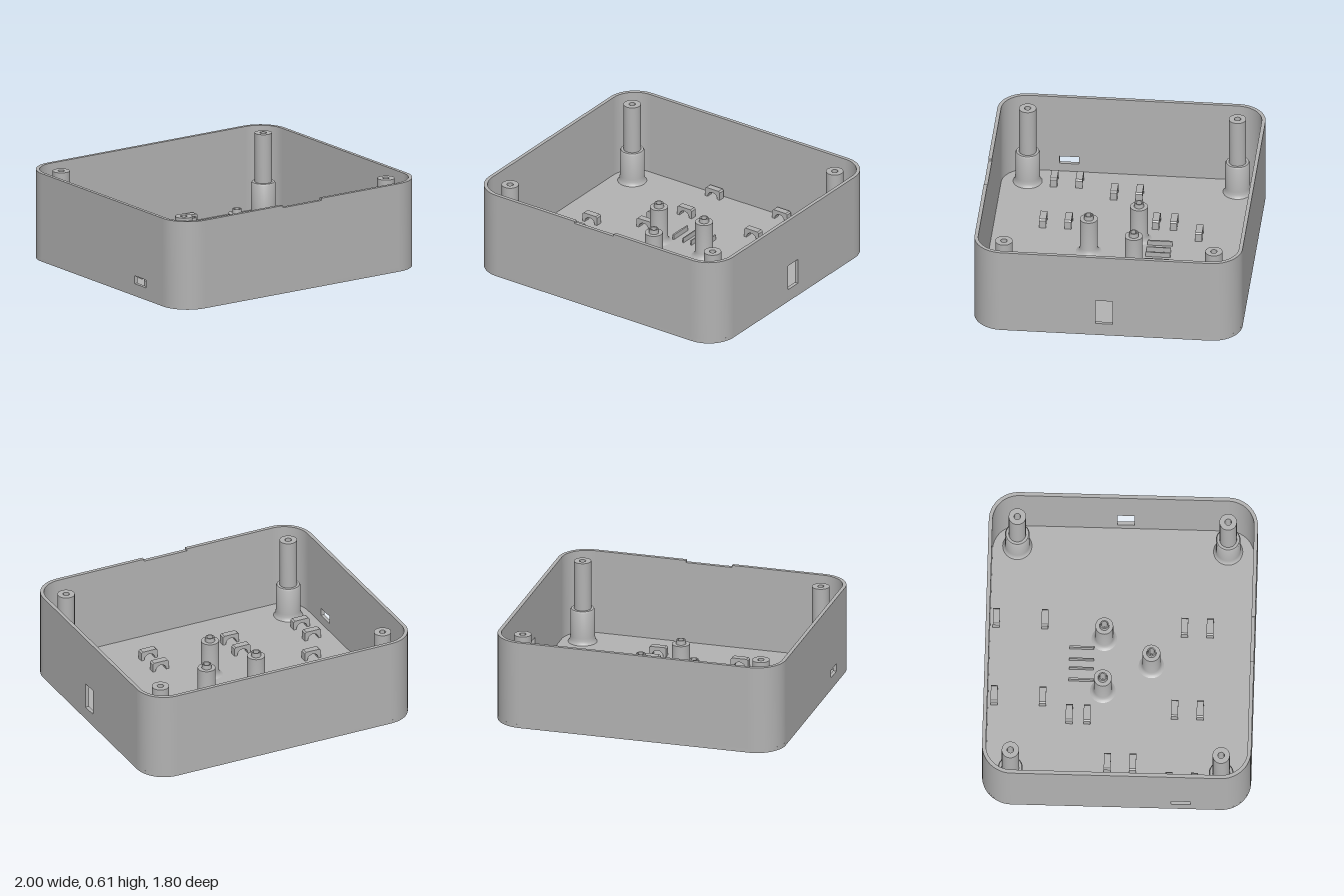
import * as THREE from 'three';
import { toCreasedNormals } from 'three/addons/utils/BufferGeometryUtils.js';

const HX = 1, HZ = 0.9, H = 0.61;      // half width, half depth, height
const R = 0.2, T = 0.025;              // corner radius, wall thickness
const FLOOR = 0.025;

const grey = new THREE.MeshStandardMaterial({ color: 0xb2b2b2 });
grey.name = 'grey plastic';

function part(name, geometry, parent) {
  const mesh = new THREE.Mesh(geometry, grey);
  mesh.name = name;
  parent.add(mesh);
  return mesh;
}

function rectPath(x0, y0, x1, y1) {
  return new THREE.Path([[x0, y0], [x0, y1], [x1, y1], [x1, y0]].map(p => new THREE.Vector2(...p)));
}

function lathe(points, segments, start = 0, length = Math.PI * 2) {
  const g = new THREE.LatheGeometry(points.map(p => new THREE.Vector2(...p)), segments, start, length);
  return toCreasedNormals(g, 0.6);
}

// Straight wall, outer face at the given distance from the centre
function wall(name, half, angle, distance, parent, windows = [], notch = null) {
  const s = new THREE.Shape();
  s.moveTo(-half, FLOOR);
  s.lineTo(half, FLOOR);
  s.lineTo(half, H);
  if (notch) {
    s.lineTo(notch.half, H);
    s.lineTo(notch.half, H - notch.depth);
    s.lineTo(-notch.half, H - notch.depth);
    s.lineTo(-notch.half, H);
  }
  s.lineTo(-half, H);
  s.closePath();
  windows.forEach(w => s.holes.push(rectPath(...w)));
  const g = new THREE.ExtrudeGeometry(s, { depth: T, bevelEnabled: false });
  g.translate(0, 0, distance - T);
  part(name, g, parent).rotation.y = angle;
}

// Hollow screw boss: stepped outside, narrow bore, wider pocket from below
function boss(name, x, z, outside, bore, pocket, parent) {
  const group = new THREE.Group();
  group.name = name;
  group.position.set(x, 0, z);
  const top = outside[outside.length - 1][1];
  part(name + 'Body', lathe([...outside, [bore, top], [bore, pocket.top], [pocket.r, pocket.top]], 32), group);
  const hole = lathe([[pocket.r, pocket.top], [pocket.r, 0]], pocket.sides);
  part(name + 'Pocket', hole, group);
  parent.add(group);
}

export function createModel() {
  const model = new THREE.Group();
  model.name = 'enclosureBase';

  const cornerBosses = [[-0.83, -0.71], [0.83, -0.71], [-0.83, 0.7], [0.83, 0.7]];
  const centreBosses = [[-0.185, -0.11], [0.185, -0.11], [0, 0.21]];
  const hexPocket = { r: 0.052, top: 0.2, sides: 6 };
  const roundPocket = { r: 0.042, top: 0.2, sides: 24 };

  // Floor plate with openings below every boss
  const plate = new THREE.Shape();
  plate.absarc(HX - R, HZ - R, R, 0, Math.PI / 2);
  plate.absarc(-HX + R, HZ - R, R, Math.PI / 2, Math.PI);
  plate.absarc(-HX + R, -HZ + R, R, Math.PI, Math.PI * 1.5);
  plate.absarc(HX - R, -HZ + R, R, Math.PI * 1.5, Math.PI * 2);
  const pierce = (list, p) => list.forEach(([x, z]) => {
    const pts = [];
    for (let i = 0; i < p.sides; i++) {
      const a = i / p.sides * Math.PI * 2;
      pts.push(new THREE.Vector2(x + p.r * Math.sin(a), -z - p.r * Math.cos(a)));
    }
    plate.holes.push(new THREE.Path(pts));
  });
  pierce(cornerBosses, hexPocket);
  pierce(centreBosses, roundPocket);
  const floor = new THREE.ExtrudeGeometry(plate, { depth: FLOOR, bevelEnabled: false, curveSegments: 16 });
  floor.rotateX(-Math.PI / 2);
  part('floor', toCreasedNormals(floor, 0.5), model);

  // Four walls with their openings
  wall('frontWall', HX - R, 0, HZ, model, [], { half: 0.16, depth: 0.015 });
  wall('backWall', HX - R, Math.PI, HZ, model);
  wall('leftWall', HZ - R, Math.PI / 2, HX, model, [[-0.07, 0.09, 0.045, 0.27]]);
  wall('rightWall', HZ - R, -Math.PI / 2, HX, model, [[0.37, 0.085, 0.5, 0.14]]);

  // Rounded corners
  for (let i = 0; i < 4; i++) {
    const sx = i < 2 ? 1 : -1, sz = i === 0 || i === 3 ? 1 : -1;
    const g = lathe([[R - T, FLOOR], [R, FLOOR], [R, H], [R - T, H], [R - T, FLOOR]], 16, i * Math.PI / 2, Math.PI / 2);
    part('cornerWall', g, model).position.set(sx * (HX - R), 0, sz * (HZ - R));
  }

  // Tall corner bosses and short centre bosses, both with a flared foot
  const tall = [[0.098, FLOOR], [0.09, 0.035], [0.085, 0.05], [0.083, 0.07], [0.083, 0.25], [0.076, 0.262], [0.058, 0.262], [0.058, 0.6]];
  const short = [[0.086, FLOOR], [0.073, 0.032], [0.065, 0.043], [0.06, 0.062], [0.06, 0.28], [0.033, 0.28], [0.03, 0.31]];
  cornerBosses.forEach(([x, z]) => boss('cornerBoss', x, z, tall, 0.022, hexPocket, model));
  centreBosses.forEach(([x, z]) => boss('centreBoss', x, z, short, 0.022, roundPocket, model));

  // Cable tie bridges: small blocks with an arched tunnel
  const arch = new THREE.Shape();
  arch.moveTo(-0.06, 0);
  arch.lineTo(-0.04, 0);
  arch.absarc(0, 0, 0.04, Math.PI, 0, true);
  arch.lineTo(0.06, 0);
  arch.lineTo(0.06, 0.055);
  arch.lineTo(0.05, 0.065);
  arch.lineTo(-0.05, 0.065);
  arch.lineTo(-0.06, 0.055);
  arch.closePath();
  const bridge = new THREE.ExtrudeGeometry(arch, { depth: 0.046, bevelEnabled: false, curveSegments: 8 });
  bridge.translate(0, FLOOR, -0.023);
  const pairs = [[-0.245, -0.835, -0.51], [0.305, -0.835, -0.51], [-0.365, -0.33, -0.21], [-0.705, -0.065, 0.105],
    [-0.83, 0.35, 0.52], [-0.315, 0.375, 0.545], [0.27, 0.425, 0.595]];
  for (const [x, z0, z1] of pairs) {
    for (const z of [z0, z1]) part('tieBridge', bridge, model).position.set(x, 0, z);
  }

  // Thin guide ribs
  for (const [x, w] of [[-0.115, 0.012], [-0.034, 0.008], [0.03, 0.008], [0.113, 0.012]]) {
    part('guideRib', new THREE.BoxGeometry(w, 0.035, 0.165), model).position.set(x, FLOOR + 0.0175, -0.258);
  }
  return model;
}
